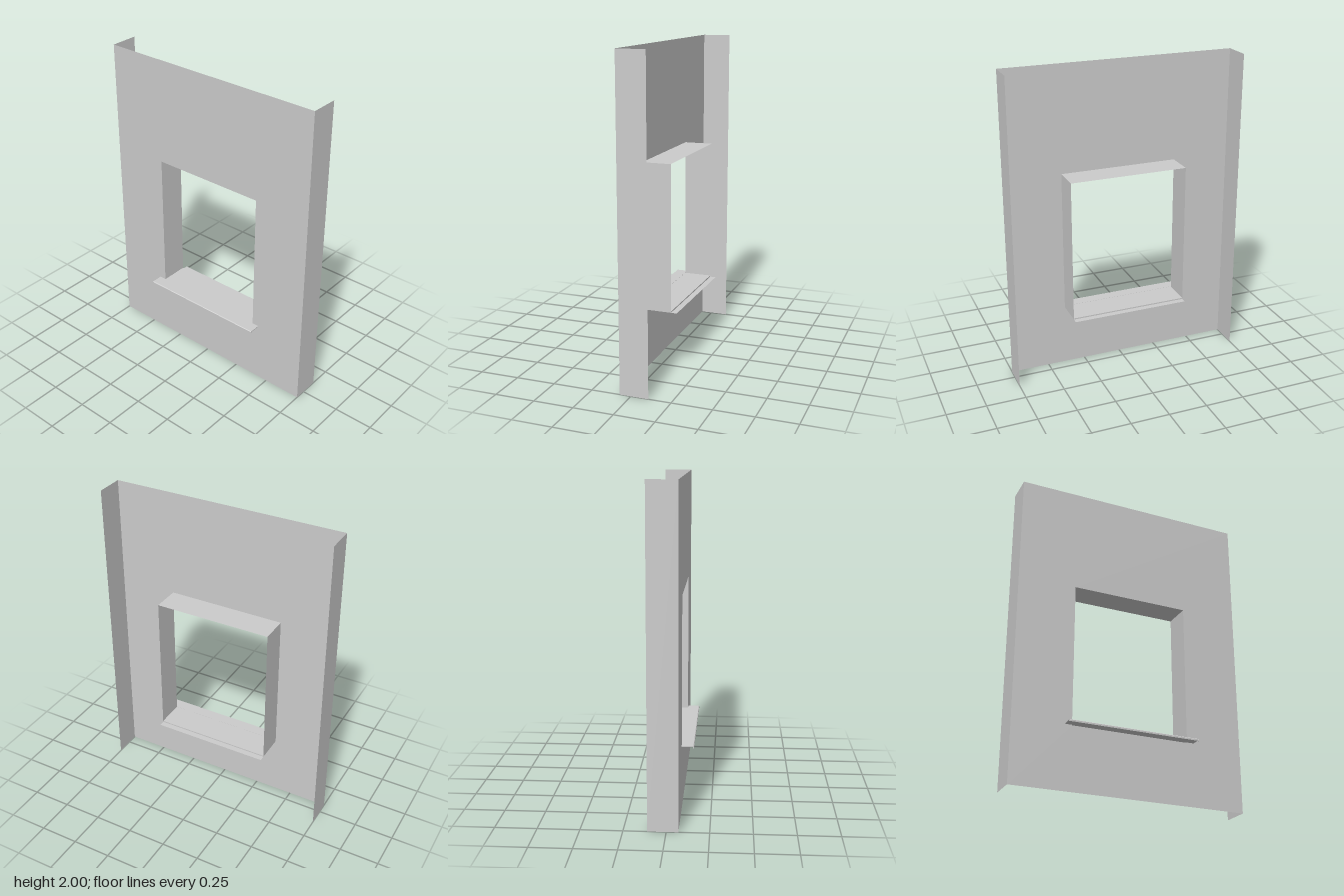
import * as THREE from 'three';

export function createModel() {
  const model = new THREE.Group();
  const material = new THREE.MeshStandardMaterial({ color: 0xcccccc, side: THREE.DoubleSide, flatShading: true });

  const W = 0.75, H = 2;                 // half width and height of the panel
  const front = 0.07, back = -0.11;      // depth range of the folded edges
  const hw = 0.378, low = 0.4, high = 1.315; // window opening
  const depth = front - back, mid = (front + back) / 2;

  const add = (name, geometry, x = 0, y = 0, z = 0) => {
    const mesh = new THREE.Mesh(geometry, material);
    mesh.name = name;
    mesh.position.set(x, y, z);
    model.add(mesh);
    return mesh;
  };

  // Front sheet with the window opening
  const outline = new THREE.Shape([[-W, 0], [W, 0], [W, H], [-W, H]].map(p => new THREE.Vector2(...p)));
  outline.holes.push(new THREE.Path([[-hw, low], [-hw, high], [hw, high], [hw, low]].map(p => new THREE.Vector2(...p))));
  add('frontPanel', new THREE.ShapeGeometry(outline), 0, 0, front);

  // Folded outer edges and window jambs, mirrored
  for (const [side, s] of [['left', 1], ['right', -1]]) {
    add(side + 'Flange', new THREE.PlaneGeometry(depth, H).rotateY(s * Math.PI / 2), s * W, H / 2, mid);
    add(side + 'Jamb', new THREE.PlaneGeometry(depth, high - low).rotateY(s * Math.PI / 2), s * hw, (high + low) / 2, mid);
  }

  // Lintel above the opening
  add('lintel', new THREE.PlaneGeometry(hw * 2, depth).rotateX(-Math.PI / 2), 0, high, mid);

  // Sill sheet inside the opening, stepping down to a tail at the rear
  const sheet = (name, width, z0, z1, y) =>
    add(name, new THREE.PlaneGeometry(width, z1 - z0).rotateX(-Math.PI / 2), 0, y, (z0 + z1) / 2);
  sheet('sillSheet', hw * 2, back, front, 0.408);
  add('sillStep', new THREE.PlaneGeometry(hw * 2, 0.008).rotateY(Math.PI), 0, 0.404, back);
  sheet('sillTail', hw * 2, -0.147, back, low);

  // Projecting sill nose with a turned-down drip edge, as [z, y] profile
  const nose = new THREE.Shape([
    [0.07, 0.403], [0.07, 0.409], [0.141, 0.409], [0.145, 0.405],
    [0.145, 0.395], [0.14, 0.395], [0.139, 0.403],
  ].map(p => new THREE.Vector2(...p)));
  const sillWidth = 0.846;
  add('sillNose', new THREE.ExtrudeGeometry(nose, { depth: sillWidth, bevelEnabled: false })
    .translate(0, 0, -sillWidth / 2).rotateY(-Math.PI / 2));

  return model;
}
